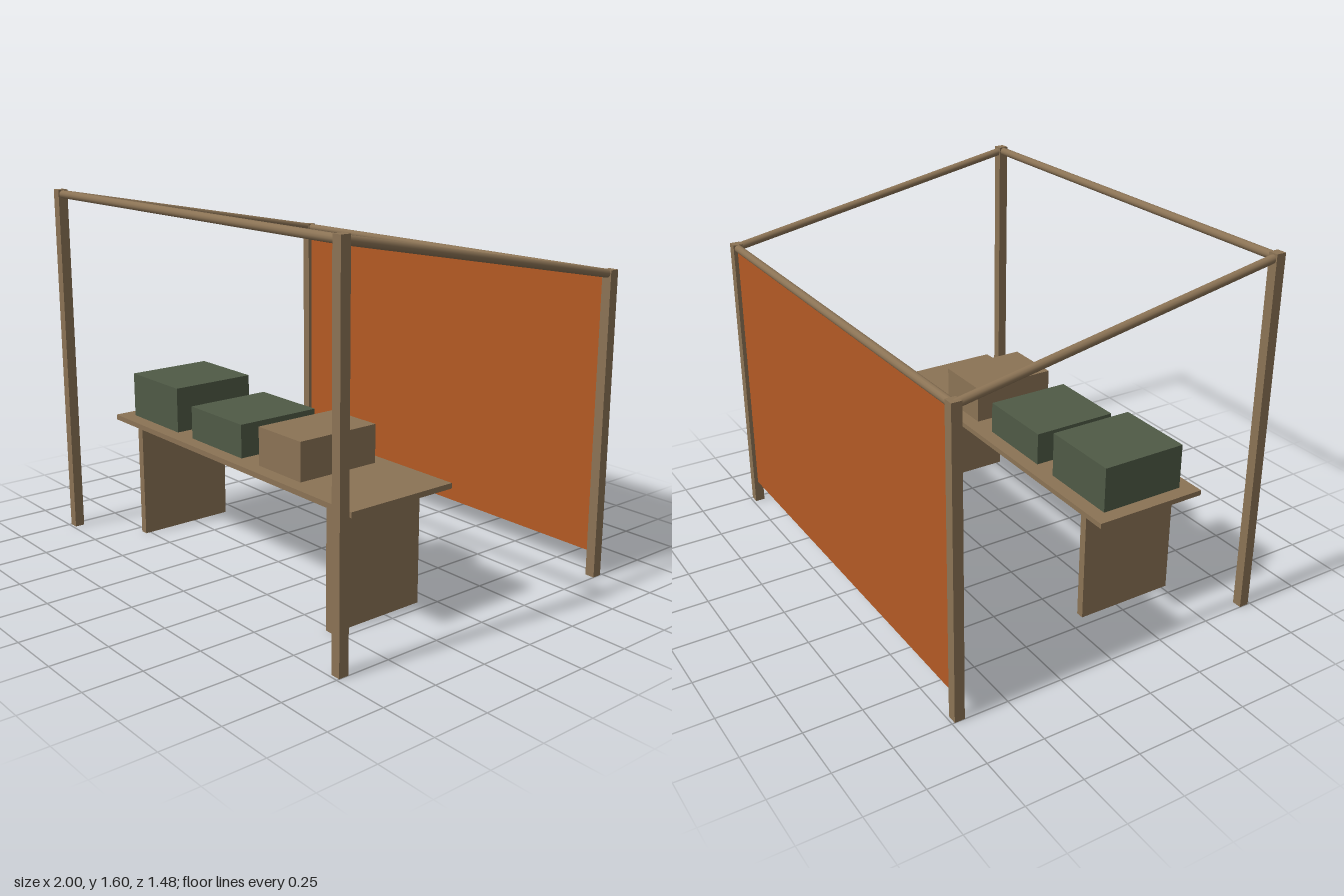
import * as THREE from 'three';

export function createModel() {
  const model = new THREE.Group();
  model.name = 'marketStall';

  const mat = (name, color) => {
    const m = new THREE.MeshStandardMaterial({ color });
    m.name = name;
    return m;
  };
  const wood = mat('wood', 0x8b7355);
  const canvas = mat('orange canvas', 0xb35a24);
  const green = mat('dark green', 0x4f5a46);

  // Box given by its lower and upper limits
  const box = (name, material, [x0, y0, z0], [x1, y1, z1]) => {
    const mesh = new THREE.Mesh(new THREE.BoxGeometry(x1 - x0, y1 - y0, z1 - z0), material);
    mesh.position.set((x0 + x1) / 2, (y0 + y1) / 2, (z0 + z1) / 2);
    mesh.name = name;
    model.add(mesh);
  };

  // Round rail between two points
  const up = new THREE.Vector3(0, 1, 0);
  const rail = (name, a, b) => {
    const from = new THREE.Vector3(...a);
    const dir = new THREE.Vector3(...b).sub(from);
    const mesh = new THREE.Mesh(new THREE.CylinderGeometry(0.018, 0.018, dir.length(), 12), wood);
    mesh.position.copy(from).addScaledVector(dir, 0.5);
    mesh.quaternion.setFromUnitVectors(up, dir.normalize());
    mesh.name = name;
    model.add(mesh);
  };

  // Frame: tall front posts, shorter back posts, rails along the top
  const px = 0.978, pz = 0.716, half = 0.022;
  const frontY = 1.58, backY = 1.317;
  for (const [side, s] of [['left', 1], ['right', -1]]) {
    const x = s * px;
    box(side + 'FrontPost', wood, [x - half, 0, pz - half], [x + half, 1.6, pz + half]);
    box(side + 'BackPost', wood, [x - half, 0, -pz - half], [x + half, 1.335, -pz + half]);
    rail(side + 'SlopingRail', [x, frontY, pz], [x, backY, -pz]);

    // Table leg panel
    const lx = s * 0.685;
    box(side + 'TableLeg', wood, [lx - 0.018, 0, 0.068], [lx + 0.018, 0.525, 0.524]);
  }
  rail('frontRail', [-px, frontY, pz], [px, frontY, pz]);
  rail('backRail', [-px, backY, -pz], [px, backY, -pz]);

  // Back cloth
  box('backCloth', canvas, [-0.96, 0.105, -pz - 0.004], [0.96, backY, -pz + 0.004]);

  // Table top and the crates on it
  box('tableTop', wood, [-0.847, 0.525, 0.033], [0.847, 0.548, 0.553]);
  box('largeCrate', green, [-0.782, 0.548, 0.097], [-0.416, 0.75, 0.49]);
  box('middleCrate', green, [-0.3, 0.548, 0.097], [0.07, 0.694, 0.49]);
  box('smallCrate', wood, [0.193, 0.548, 0.097], [0.466, 0.715, 0.49]);

  return model;
}
